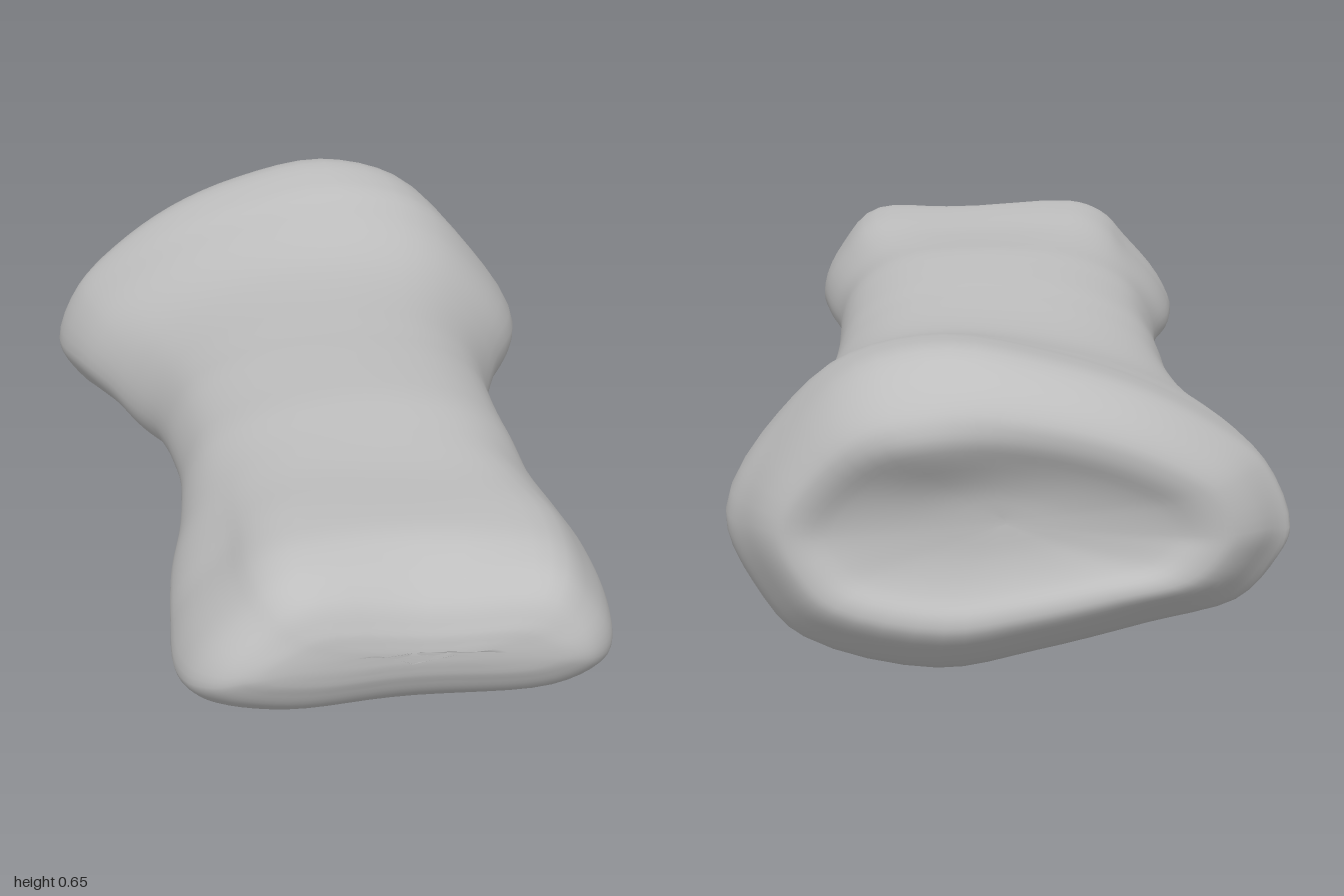
import * as THREE from 'three';

// Cross-section outlines in a -1..1 box: left side, over the top, right side, underside
const BASE = [-1, -.2, -.91, .2, -.77, .42, -.5, .69, -.18, .88, .22, 1, .55, .87, .83, .4,
  1, -.15, .92, -.57, .76, -.85, .27, -1, -.1, -.88, -.5, -.73, -.82, -.62, -.96, -.38];
const SHAFT = [-1, -.35, -.95, .1, -.82, .5, -.6, .78, -.3, .95, .2, 1, .6, .85, .88, .45,
  1, -.18, .96, -.6, .77, -.87, .3, -1, -.15, -1, -.5, -.95, -.8, -.85, -.95, -.65];
const HEAD = [-1, -.5, -.93, -.05, -.74, .5, -.6, .85, -.42, 1, .3, .95, .7, .88, .9, .4,
  1, -.13, .97, -.48, .74, -.81, .3, -.95, -.15, -.98, -.55, -.98, -.83, -.85, -.95, -.7];

// Stations from the dished base to the rounded head: z, xMin, xMax, yMin, yMax, outline blend
const STATIONS = [
  [-.875, -.01, .01, .32, .34, 0],
  [-.882, -.17, .18, .25, .40, 0],
  [-.902, -.32, .32, .19, .46, 0],
  [-.926, -.40, .39, .15, .515, 0],
  [-.925, -.45, .43, .115, .56, 0],
  [-.885, -.505, .475, .065, .61, 0],
  [-.80, -.548, .52, 0, .651, 0],
  [-.70, -.556, .55, .013, .637, 0],
  [-.58, -.52, .535, .07, .605, .15],
  [-.43, -.45, .475, .12, .57, .45],
  [-.30, -.40, .435, .145, .56, .7],
  [-.15, -.353, .405, .20, .562, .9],
  [0, -.33, .395, .24, .568, 1],
  [.20, -.312, .402, .26, .575, 1],
  [.40, -.325, .42, .26, .566, 1.3],
  [.55, -.352, .457, .252, .56, 1.7],
  [.70, -.362, .485, .23, .567, 2],
  [.82, -.363, .49, .215, .568, 2],
  [.91, -.34, .475, .24, .55, 2],
  [.965, -.295, .44, .28, .515, 2],
  [.99, -.24, .395, .325, .47, 2],
  [1, -.15, .31, .36, .435, 2],
  [1.002, .08, .09, .395, .40, 2],
];

const loop = (a) => {
  const p = [];
  for (let i = 0; i < a.length; i += 2) p.push(new THREE.Vector3(a[i], a[i + 1], 0));
  return new THREE.CatmullRomCurve3(p, true, 'centripetal');
};
const track = (i, j, k) => new THREE.CatmullRomCurve3(
  STATIONS.map((s) => new THREE.Vector3(s[i], s[j], s[k])), false, 'centripetal');
const hill = (d, w) => Math.exp(-(d * d) / (w * w));

function boneGeometry(around = 64, along = 88) {
  const outlines = [BASE, SHAFT, HEAD].map(loop);
  const across = track(0, 1, 2), upright = track(3, 4, 5);
  const pos = [], index = [];
  for (let r = 0; r <= along; r++) {
    const a = across.getPoint(r / along), b = upright.getPoint(r / along);
    const blend = THREE.MathUtils.clamp(b.z, 0, 2), n = Math.min(1, Math.floor(blend));
    const backness = THREE.MathUtils.smoothstep(-a.x, .7, .88);
    const frontness = THREE.MathUtils.smoothstep(a.x, .75, .97);
    for (let c = 0; c < around; c++) {
      const p = outlines[n].getPoint(c / around).lerp(outlines[n + 1].getPoint(c / around), blend - n);
      const x = (a.y + a.z) / 2 + p.x * (a.z - a.y) / 2;
      let y = (b.x + b.y) / 2 + p.y * (b.y - b.x) / 2;
      let z = a.x;
      // Bowed base with a lip at the top, and a shallow groove between the two knuckles
      z += backness * (.38 * (x - .05) ** 2 - .042 - .032 * hill(x - .15, .15) * hill(y - .48, .08));
      z -= frontness * .03 * hill(x - .1, .18);
      if (p.y > 0) y -= frontness * .03 * p.y * hill(x - .12, .15);
      pos.push(x, y, z);
      if (r < along) {
        const i = r * around + c, j = r * around + (c + 1) % around;
        index.push(i, i + around, j, j, i + around, j + around);
      }
    }
  }
  // Close the tiny holes at both ends
  const last = along * around;
  for (let c = 1; c < around - 1; c++) {
    index.push(0, c, c + 1);
    index.push(last, last + c + 1, last + c);
  }
  const geo = new THREE.BufferGeometry();
  geo.setAttribute('position', new THREE.Float32BufferAttribute(pos, 3));
  geo.setIndex(orientOutward(pos, index));
  geo.computeVertexNormals();
  return geo;
}

// Flip the winding if the enclosed volume comes out negative
function orientOutward(pos, index) {
  const v = (i) => new THREE.Vector3(pos[3 * i], pos[3 * i + 1], pos[3 * i + 2]);
  let volume = 0;
  for (let i = 0; i < index.length; i += 3)
    volume += v(index[i]).dot(v(index[i + 1]).cross(v(index[i + 2])));
  return volume < 0 ? index.slice().reverse() : index;
}

export function createModel() {
  const group = new THREE.Group();
  group.name = 'toeBone';
  const boneGrey = new THREE.MeshStandardMaterial({ color: 0xbebebe });
  boneGrey.name = 'boneGrey';
  const bone = new THREE.Mesh(boneGeometry(), boneGrey);
  bone.name = 'bone';
  group.add(bone);
  return group;
}
